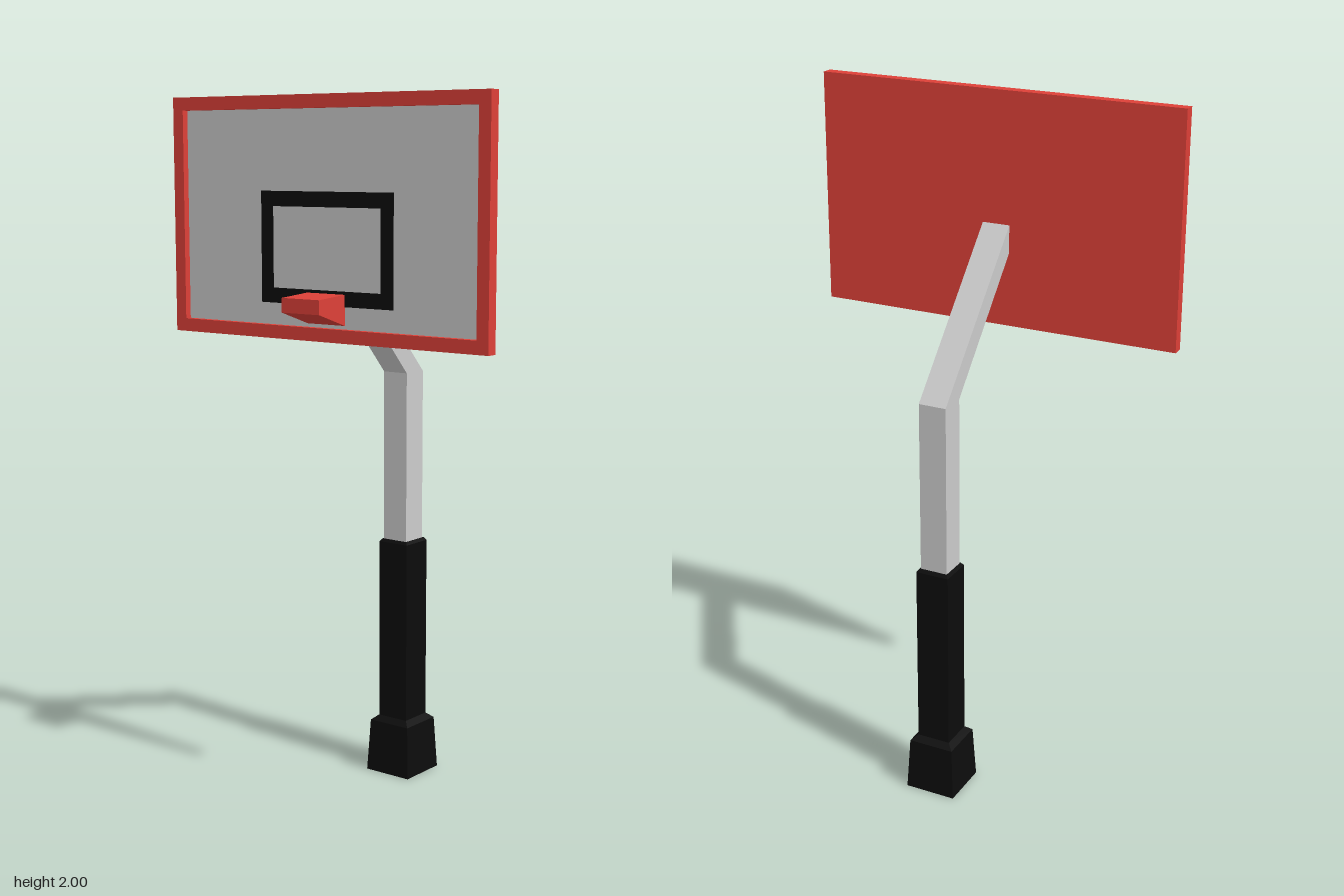
import * as THREE from 'three';

const material = (color) => new THREE.MeshStandardMaterial({ color, flatShading: true });

// Rectangular ring standing in the z-y plane, extruded from x = 0 towards -x
function ringGeometry(width, height, border, depth) {
  const rect = (Type, w, h) => new Type([
    new THREE.Vector2(-w / 2, -h / 2), new THREE.Vector2(w / 2, -h / 2),
    new THREE.Vector2(w / 2, h / 2), new THREE.Vector2(-w / 2, h / 2),
  ]);
  const shape = rect(THREE.Shape, width, height);
  shape.holes.push(rect(THREE.Path, width - 2 * border, height - 2 * border));
  return new THREE.ExtrudeGeometry(shape, { depth, bevelEnabled: false }).rotateY(-Math.PI / 2);
}

// Side profile in x-y, extruded symmetrically in z
function slabGeometry(points, width) {
  const shape = new THREE.Shape(points.map(([x, y]) => new THREE.Vector2(x, y)));
  return new THREE.ExtrudeGeometry(shape, { depth: width, bevelEnabled: false }).translate(0, 0, -width / 2);
}

// Square-section body from [half width, height] pairs
function squareLathe(profile) {
  const points = profile.map(([half, y]) => new THREE.Vector2(half * Math.SQRT2, y));
  return new THREE.LatheGeometry(points, 4, Math.PI / 4);
}

export function createModel() {
  const model = new THREE.Group();
  model.name = 'basketballHoopStand';
  const grey = material(0xcccccc);
  const red = material(0xdd4038);
  const black = material(0x0c0c0c);

  const add = (name, geometry, mat, x = 0, y = 0, z = 0) => {
    const mesh = new THREE.Mesh(geometry, mat);
    mesh.name = name;
    mesh.position.set(x, y, z);
    model.add(mesh);
  };

  // Padded sleeve with a flared foot
  const poleX = 0.196;
  add('baseFoot', squareLathe([[0, 0], [0.076, 0], [0.068, 0.155], [0.05, 0.17], [0, 0.17]]), black, poleX);
  add('polePadding', squareLathe([[0.05, 0.16], [0.05, 0.707], [0.044, 0.715], [0, 0.715]]), black, poleX);

  // Square post bending into the slanted arm
  add('pole', slabGeometry([
    [0.155, 0.7], [0.235, 0.7], [0.235, 1.215],
    [-0.152, 1.627], [-0.152, 1.547], [0.155, 1.215],
  ], 0.082), grey);

  // Backboard: rear plate, raised rim, recessed panel
  const boardY = 1.666, boardW = 1.092, boardH = 0.668;
  add('backboardPlate', new THREE.BoxGeometry(0.012, boardH, boardW), red, -0.157, boardY);
  add('backboardRim', ringGeometry(boardW, boardH, 0.037, 0.021), red, -0.163, boardY);
  add('backboardPanel', new THREE.BoxGeometry(0.004, boardH - 0.07, boardW - 0.07), grey, -0.163, boardY);
  add('targetSquare', ringGeometry(0.46, 0.31, 0.042, 0.003), black, -0.164, 1.585);

  // Wedge-shaped rim bracket
  add('rimBracket', slabGeometry([
    [-0.276, 1.416], [-0.163, 1.378], [-0.163, 1.464], [-0.276, 1.456],
  ], 0.131), red);

  return model;
}
